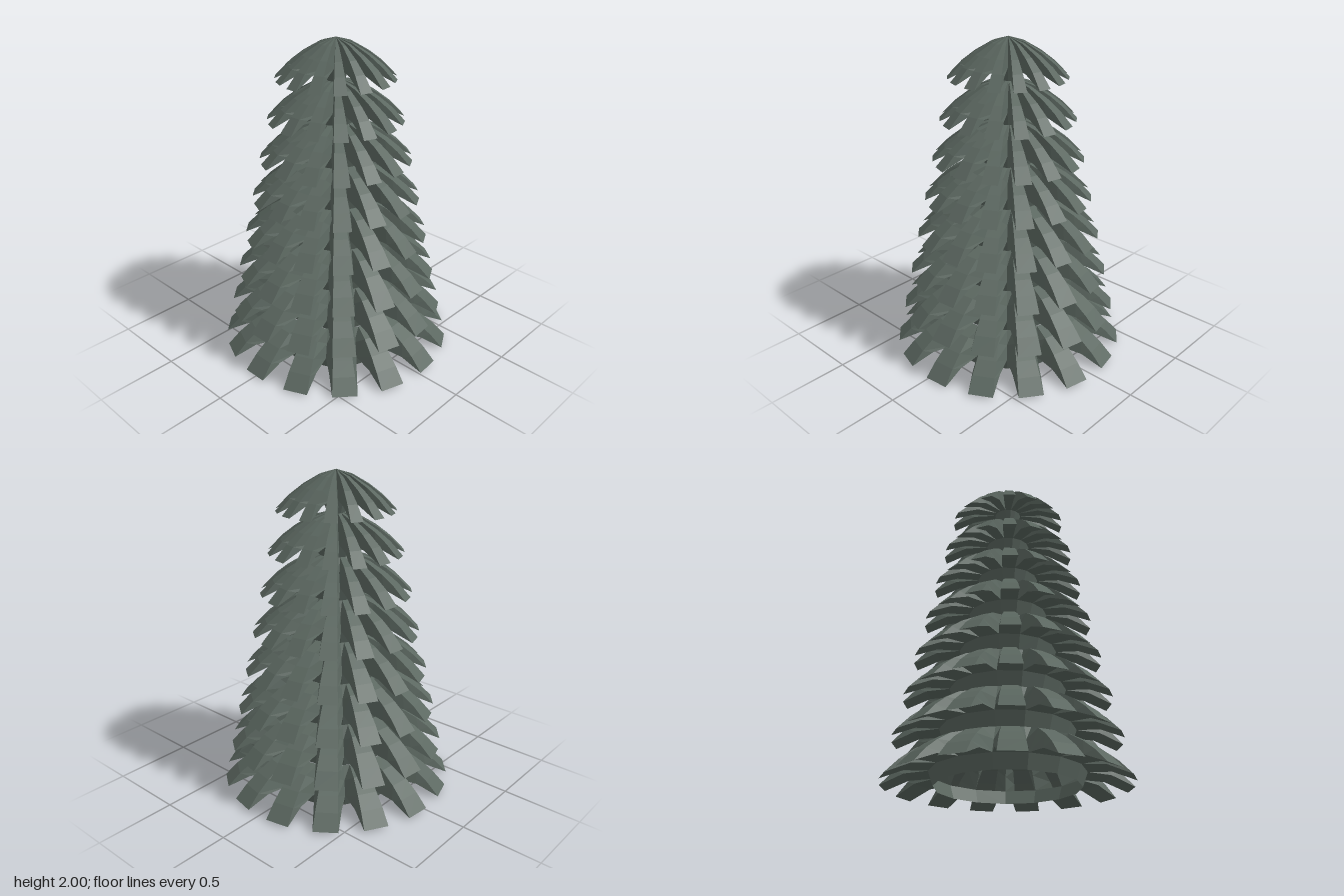
import * as THREE from 'three';

const TIERS = 8, BRANCHES = 15, RISE = 0.25, STEP = 0.0535, FLARE = 0.03, COLLAR = 0.085;
const STRIP = Math.PI / 30;   // half angle of a branch's top strip
const VALLEY = Math.PI / 15;  // half angle between neighbouring valleys

// Outward distance and drop along the arched top of a branch
const ARCH = [[0, 0], [0.1, 0.032], [0.2, 0.092], [0.28, 0.155], [0.358, 0.237]];

// One branch pointing along +x: arched strip, sloping side walls and hollowed underside
function branchGeometry(inner, collarRadius) {
  const tip = inner + ARCH[4][0], tipY = RISE - ARCH[4][1];
  // Valley line runs to the collar, then the lower edge runs out to the tip
  const lower = [
    [inner, RISE, VALLEY],
    [(inner + collarRadius) / 2, (RISE + COLLAR) / 2, VALLEY],
    [collarRadius, COLLAR, VALLEY],
    [(collarRadius + tip) / 2, (COLLAR + tipY) / 2 + 0.025, VALLEY * 0.68],
    [tip, tipY, STRIP],
  ];
  const point = (r, y, a) => [r * Math.cos(a), y, r * Math.sin(a)];
  const rows = ARCH.map(([out, drop], k) => {
    const [r, y, a] = lower[k];
    const top = [inner + out, RISE - drop];
    return [point(r, y, -a), point(...top, -STRIP), point(...top, STRIP), point(r, y, a)];
  });
  const positions = [];
  const quad = (a, b, c, d) => positions.push(...a, ...b, ...c, ...a, ...c, ...d);
  for (let k = 0; k < 4; k++) {
    for (let j = 0; j < 3; j++) quad(rows[k][j], rows[k][j + 1], rows[k + 1][j + 1], rows[k + 1][j]);
    if (k >= 2) quad(rows[k][0], rows[k + 1][0], rows[k + 1][3], rows[k][3]);
  }
  const geometry = new THREE.BufferGeometry();
  geometry.setAttribute('position', new THREE.Float32BufferAttribute(positions, 3));
  geometry.computeVertexNormals();
  return geometry;
}

export function createModel() {
  const tree = new THREE.Group();
  tree.name = 'firTree';
  const needles = new THREE.MeshStandardMaterial({ color: 0x5c6861, flatShading: true, side: THREE.DoubleSide });

  for (let i = 0; i < TIERS; i++) {
    const tier = new THREE.Group();
    tier.name = `tier${i + 1}`;
    tier.position.y = i * RISE;
    const base = STEP * (TIERS - i);

    // Open collar that flares upward to the undersides of the branches
    const collar = new THREE.Mesh(
      new THREE.CylinderGeometry(base + FLARE, base, COLLAR, BRANCHES, 1, true, Math.PI / 2), needles);
    collar.name = 'collar';
    collar.position.y = COLLAR / 2;
    tier.add(collar);

    // Ring of drooping branches
    const geometry = branchGeometry(Math.max(base - STEP, 0.001), base + FLARE);
    for (let b = 0; b < BRANCHES; b++) {
      const branch = new THREE.Mesh(geometry, needles);
      branch.name = 'branch';
      branch.rotation.y = Math.PI + (b * 2 * Math.PI) / BRANCHES;
      tier.add(branch);
    }
    tree.add(tier);
  }
  return tree;
}
